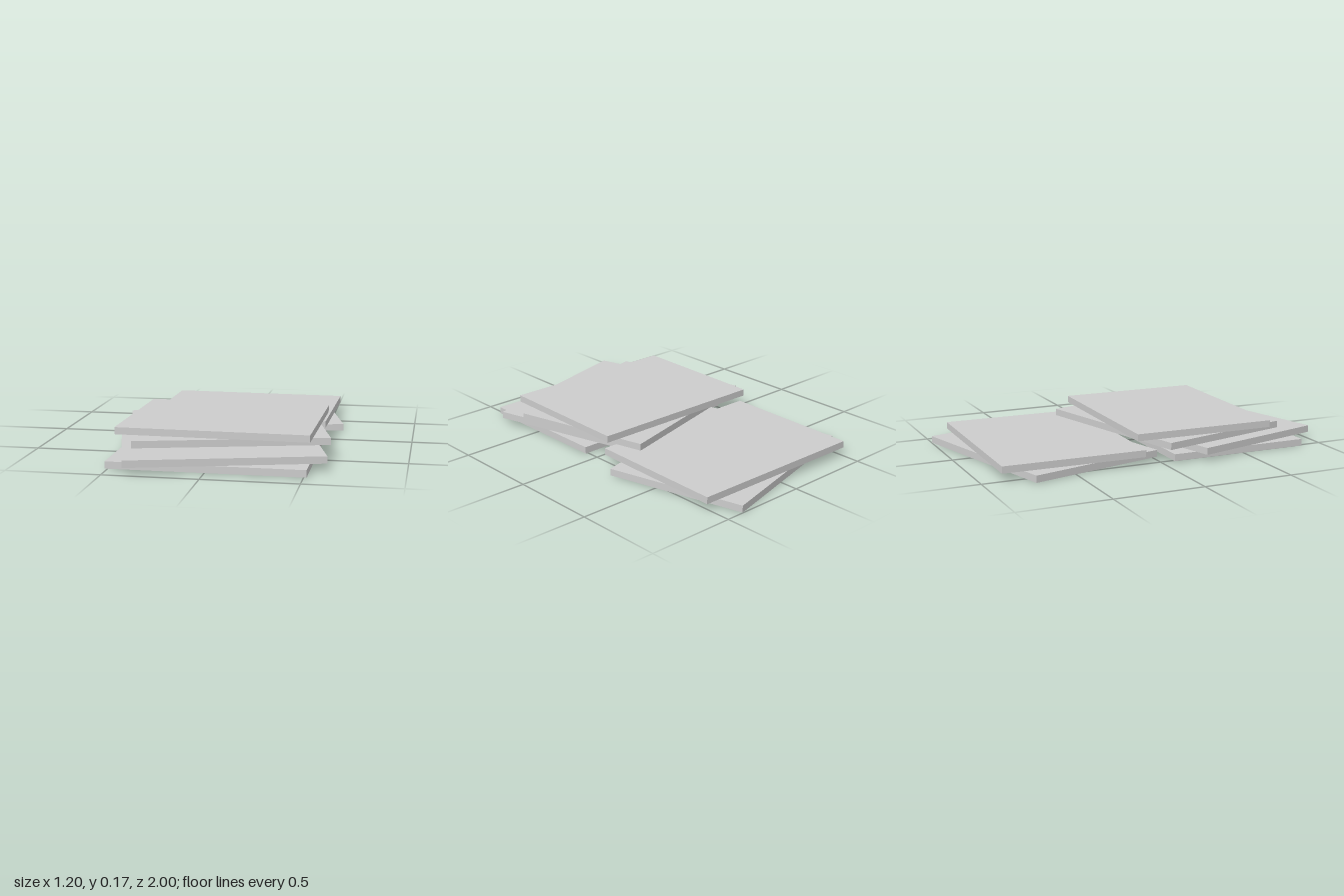
import * as THREE from 'three';

// Two loose stacks of thin rectangular slabs, each slab turned a little.
export function createModel() {
  const group = new THREE.Group();
  const lightGrey = new THREE.MeshStandardMaterial({ color: 0xcccccc });
  lightGrey.name = 'light grey';
  const thickness = 0.038;
  const slabGeometry = new THREE.BoxGeometry(1.03, thickness, 0.797);

  // name, underside height, z centre, turn in degrees
  const slabs = [
    ['frontSlabBottom', 0, 0.477, 0],
    ['frontSlabSecond', 0.039, 0.478, 15.2],
    ['frontSlabThird', 0.089, 0.27, 14.5],
    ['frontSlabTop', 0.131, 0.27, -1],
    ['backSlabBottom', 0.002, -0.485, 14.5],
    ['backSlabTop', 0.044, -0.485, -1],
  ];
  for (const [name, y, z, turn] of slabs) {
    const slab = new THREE.Mesh(slabGeometry, lightGrey);
    slab.name = name;
    slab.position.set(0, y + thickness / 2, z);
    slab.rotation.y = THREE.MathUtils.degToRad(turn);
    group.add(slab);
  }
  return group;
}
